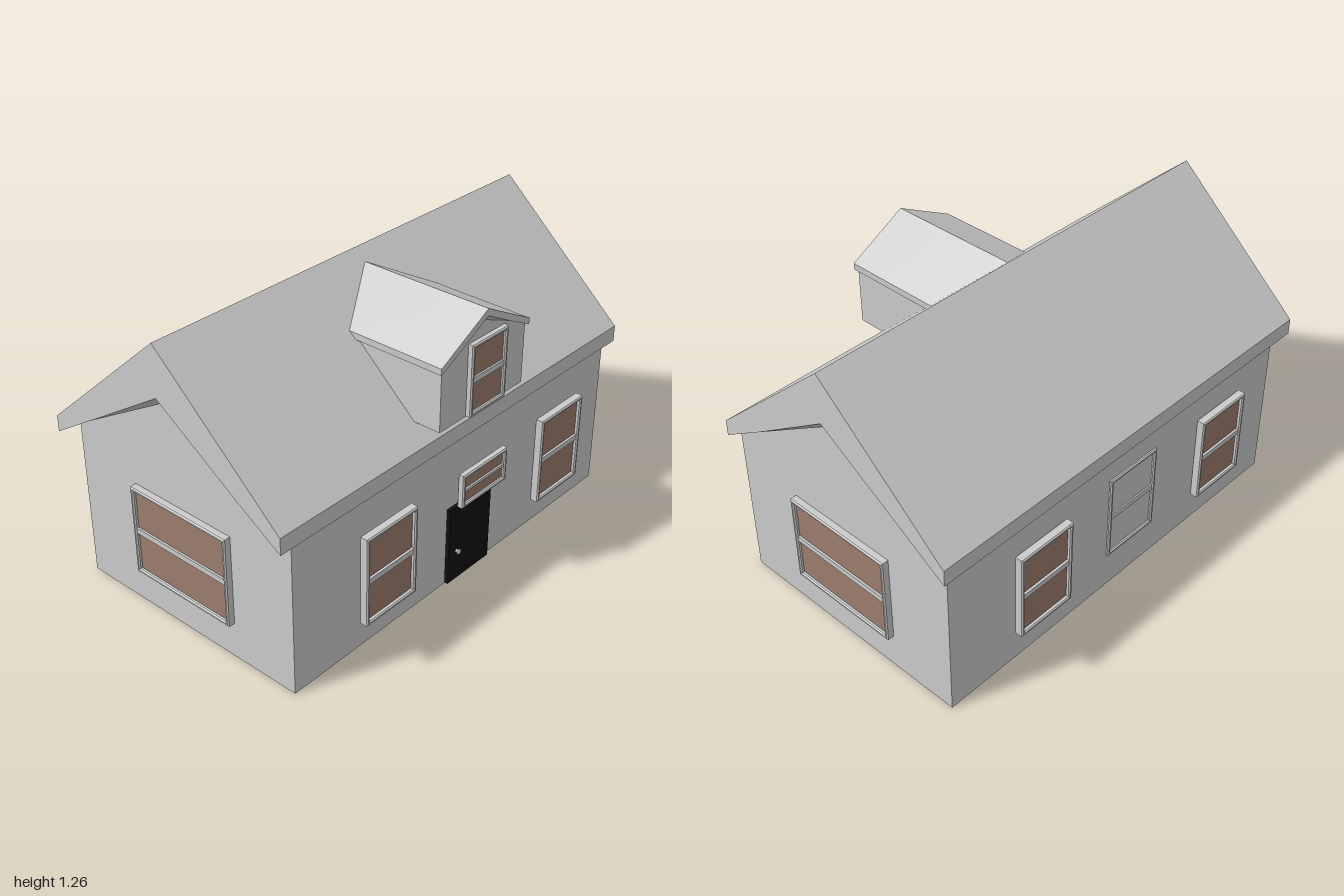
import * as THREE from 'three';

const grey = new THREE.MeshStandardMaterial({ color: 0xcccccc });
const brown = new THREE.MeshStandardMaterial({ color: 0x9c7e6d });
const black = new THREE.MeshStandardMaterial({ color: 0x111111 });

function addMesh(parent, name, geometry, material = grey) {
  const mesh = new THREE.Mesh(geometry, material);
  mesh.name = name;
  parent.add(mesh);
  return mesh;
}

// Prism of a 2D outline along z
function prism(points, depth, steps = 1) {
  const shape = new THREE.Shape(points.map(([x, y]) => new THREE.Vector2(x, y)));
  return new THREE.ExtrudeGeometry(shape, { depth, steps, bevelEnabled: false });
}

// Roof prism whose underside ridge drops behind the open gable ends
function roofPrism(points, depth, steps, ridgeY, innerY) {
  const geometry = prism(points, depth, steps);
  const pos = geometry.attributes.position;
  for (let i = 0; i < pos.count; i++) {
    const z = pos.getZ(i);
    if (Math.abs(pos.getY(i) - ridgeY) < 1e-4 && z > 0.001 && z < depth - 0.001) pos.setY(i, innerY);
  }
  geometry.computeVertexNormals();
  return geometry;
}

// Window facing +z, back of the frame at z = 0
function makeWindow(name, w, h, depth) {
  const win = new THREE.Group();
  win.name = name;
  const bevel = 0.005, bar = 0.016;
  const rect = (Path, a, b) => new Path([[-a, -b], [a, -b], [a, b], [-a, b]].map(([x, y]) => new THREE.Vector2(x, y)));
  const shape = rect(THREE.Shape, w / 2 - bevel, h / 2 - bevel);
  shape.holes.push(rect(THREE.Path, w / 2 - bar + bevel, h / 2 - bar + bevel));
  const frame = new THREE.ExtrudeGeometry(shape, {
    depth: depth - 2 * bevel, bevelThickness: bevel, bevelSize: bevel, bevelSegments: 1,
  });
  frame.translate(0, 0, bevel);
  addMesh(win, 'frame', frame);
  const paneDepth = depth * 0.6;
  addMesh(win, 'pane', new THREE.BoxGeometry(w - 0.02, h - 0.02, paneDepth), brown).position.z = paneDepth / 2;
  addMesh(win, 'crossbar', new THREE.BoxGeometry(w - 0.02, Math.min(0.024, h * 0.08), depth * 0.85))
    .position.z = depth * 0.43;
  return win;
}

export function createModel() {
  const house = new THREE.Group();
  house.name = 'house';

  // Walls with gables; outline is [-z, y], turned to run along x
  const walls = prism([[-0.53, 0], [0.575, 0], [0.575, 0.69], [0.41, 0.80], [0.02, 1.015],
    [-0.36, 0.80], [-0.53, 0.69]], 1.88);
  walls.rotateY(Math.PI / 2).translate(-0.92, 0, 0);
  addMesh(house, 'walls', walls);

  // Main roof
  const roof = roofPrism([[-0.56, 0.675], [-0.36, 0.80], [0.02, 1.05], [0.41, 0.80], [0.605, 0.675],
    [0.605, 0.745], [0.02, 1.265], [-0.56, 0.745]], 2, 50, 1.05, 1.015);
  roof.rotateY(Math.PI / 2).translate(-1, 0, 0);
  addMesh(house, 'roof', roof);

  // Dormer
  const dormer = new THREE.Group();
  dormer.name = 'dormer';
  dormer.position.x = 0.02;
  house.add(dormer);
  const dormerWalls = prism([[-0.247, 0.81], [0.247, 0.81], [0.247, 1.06], [0.16, 1.105], [0, 1.172],
    [-0.16, 1.105], [-0.247, 1.06]], 0.425);
  addMesh(dormer, 'dormerWalls', dormerWalls.translate(0, 0, 0.18));
  const dormerRoof = roofPrism([[-0.26, 1.055], [-0.16, 1.105], [0, 1.19], [0.16, 1.105], [0.26, 1.055],
    [0.26, 1.082], [0, 1.22], [-0.26, 1.082]], 0.635, 50, 1.19, 1.172);
  addMesh(dormer, 'dormerRoof', dormerRoof.translate(0, 0, -0.02));

  // Windows: name, x, y, z, width, height, depth, turn about y
  const back = Math.PI, side = Math.PI / 2;
  [
    ['frontWindowRight', -0.475, 0.353, 0.567, 0.28, 0.388, 0.04, 0],
    ['frontWindowLeft', 0.583, 0.353, 0.567, 0.28, 0.388, 0.04, 0],
    ['transomWindow', 0.04, 0.492, 0.598, 0.272, 0.146, 0.03, 0],
    ['dormerWindow', 0.03, 0.962, 0.598, 0.212, 0.298, 0.03, 0],
    ['backWindowRight', -0.553, 0.353, -0.588, 0.276, 0.388, 0.04, back],
    ['backWindowMiddle', -0.035, 0.356, -0.55, 0.276, 0.388, 0.036, back],
    ['backWindowLeft', 0.503, 0.353, -0.588, 0.276, 0.388, 0.04, back],
    ['sideWindowLeft', 0.955, 0.352, -0.023, 0.503, 0.39, 0.036, side],
    ['sideWindowRight', -0.915, 0.352, -0.023, 0.503, 0.39, 0.036, -side],
  ].forEach(([name, x, y, z, w, h, d, turn]) => {
    const win = makeWindow(name, w, h, d);
    win.position.set(x, y, z);
    win.rotation.y = turn;
    house.add(win);
  });

  // Door and knob
  const door = new THREE.Group();
  door.name = 'door';
  house.add(door);
  addMesh(door, 'doorPanel', new THREE.BoxGeometry(0.26, 0.352, 0.025), black).position.set(0.065, 0.179, 0.533);
  const stem = new THREE.CylinderGeometry(0.005, 0.008, 0.014, 12).rotateX(Math.PI / 2);
  addMesh(door, 'knobStem', stem).position.set(-0.015, 0.14, 0.551);
  const knob = addMesh(door, 'knob', new THREE.SphereGeometry(0.012, 16, 10));
  knob.position.set(-0.015, 0.14, 0.558);
  knob.scale.z = 0.5;

  return house;
}
